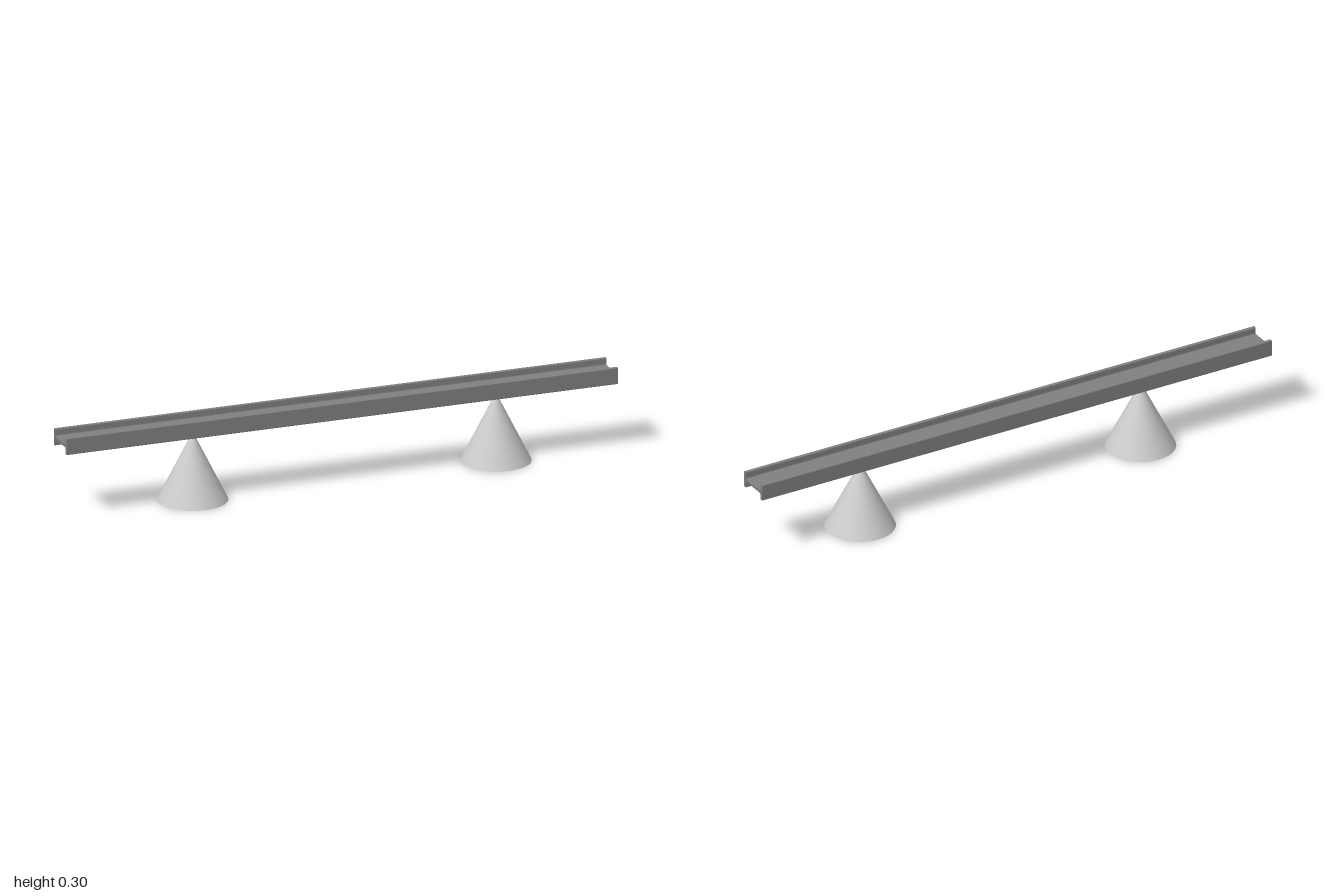
import * as THREE from 'three';

// H-shaped section: two upright flanges joined by a thin web, with small fillets
function beamSection() {
  const W = 0.0605, w = 0.0475, top = 0.296, bot = 0.2375; // flange outer, inner, top, bottom
  const webTop = 0.271, webBot = 0.261, r = 0.003, f = 0.005;
  const s = new THREE.Shape();
  s.moveTo(-W + r, bot);
  s.lineTo(-w - r, bot);
  s.quadraticCurveTo(-w, bot, -w, bot + r);
  s.lineTo(-w, webBot - f);
  s.quadraticCurveTo(-w, webBot, -w + f, webBot);
  s.lineTo(w - f, webBot);
  s.quadraticCurveTo(w, webBot, w, webBot - f);
  s.lineTo(w, bot + r);
  s.quadraticCurveTo(w, bot, w + r, bot);
  s.lineTo(W - r, bot);
  s.quadraticCurveTo(W, bot, W, bot + r);
  s.lineTo(W, top - r);
  s.quadraticCurveTo(W, top, W - r, top);
  s.lineTo(w + r, top);
  s.quadraticCurveTo(w, top, w, top - r);
  s.lineTo(w, webTop + f);
  s.quadraticCurveTo(w, webTop, w - f, webTop);
  s.lineTo(-w + f, webTop);
  s.quadraticCurveTo(-w, webTop, -w, webTop + f);
  s.lineTo(-w, top - r);
  s.quadraticCurveTo(-w, top, -w - r, top);
  s.lineTo(-W + r, top);
  s.quadraticCurveTo(-W, top, -W, top - r);
  s.lineTo(-W, bot + r);
  s.quadraticCurveTo(-W, bot, -W + r, bot);
  return s;
}

export function createModel() {
  const group = new THREE.Group();
  const supportMat = new THREE.MeshStandardMaterial({ color: 0xcccccc });
  const beamMat = new THREE.MeshStandardMaterial({ color: 0x808080 });

  // Beam running along x
  const beamGeo = new THREE.ExtrudeGeometry(beamSection(), { depth: 2, bevelEnabled: false, curveSegments: 4 });
  beamGeo.translate(0, 0, -1).rotateY(Math.PI / 2);
  const beam = new THREE.Mesh(beamGeo, beamMat);
  beam.name = 'beam';
  group.add(beam);

  // Two cone supports touching the beam from below
  const coneGeo = new THREE.ConeGeometry(0.121, 0.242, 32);
  for (const [name, x] of [['rightSupport', -0.52], ['leftSupport', 0.58]]) {
    const cone = new THREE.Mesh(coneGeo, supportMat);
    cone.name = name;
    cone.position.set(x, 0.121, 0);
    group.add(cone);
  }
  return group;
}
